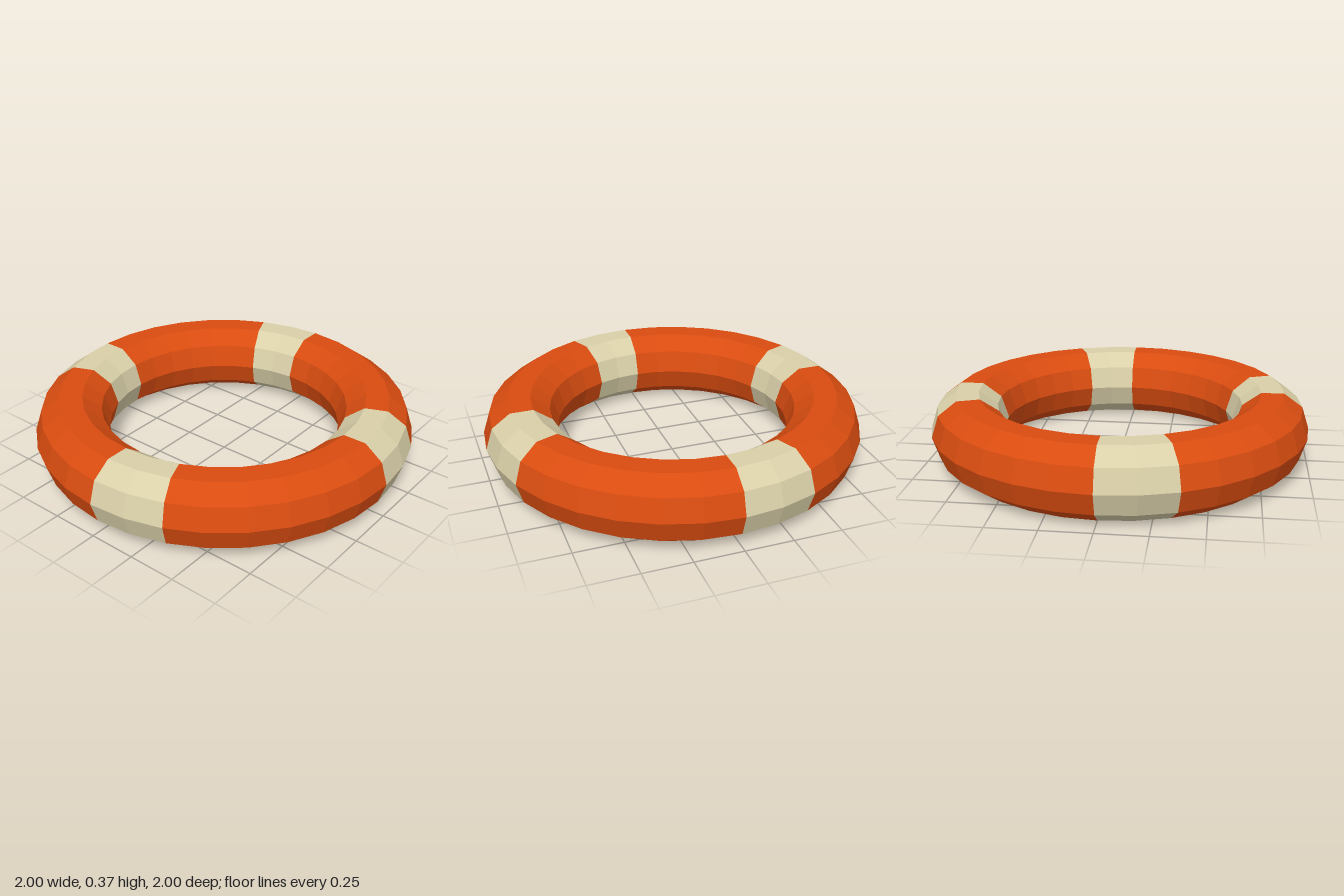
import * as THREE from 'three';

const RING_RADIUS = 0.806;
const TUBE_RADIUS = 0.194;
const TUBE_SIDES = 10;
const STEP = Math.PI / 16; // 32 steps around the ring

export function createModel() {
  const group = new THREE.Group();
  group.name = 'lifebuoy';

  const orange = new THREE.MeshStandardMaterial({ color: 0xd94c10, flatShading: true });
  orange.name = 'orange';
  const cream = new THREE.MeshStandardMaterial({ color: 0xd9cfa8, flatShading: true });
  cream.name = 'cream';

  // One arc of the ring, laid flat and resting on the ground
  function addArc(name, material, start, steps) {
    const geometry = new THREE.TorusGeometry(RING_RADIUS, TUBE_RADIUS, TUBE_SIDES, steps, steps * STEP);
    geometry.rotateZ(start * STEP);
    geometry.rotateX(-Math.PI / 2);
    geometry.translate(0, TUBE_RADIUS * Math.sin(Math.PI * 0.4), 0);
    const mesh = new THREE.Mesh(geometry, material);
    mesh.name = name;
    group.add(mesh);
  }

  // Four quarters, each a short cream band followed by a long orange section
  for (let i = 0; i < 4; i++) {
    addArc('band' + (i + 1), cream, i * 8, 2);
    addArc('ringSection' + (i + 1), orange, i * 8 + 2, 6);
  }

  return group;
}
